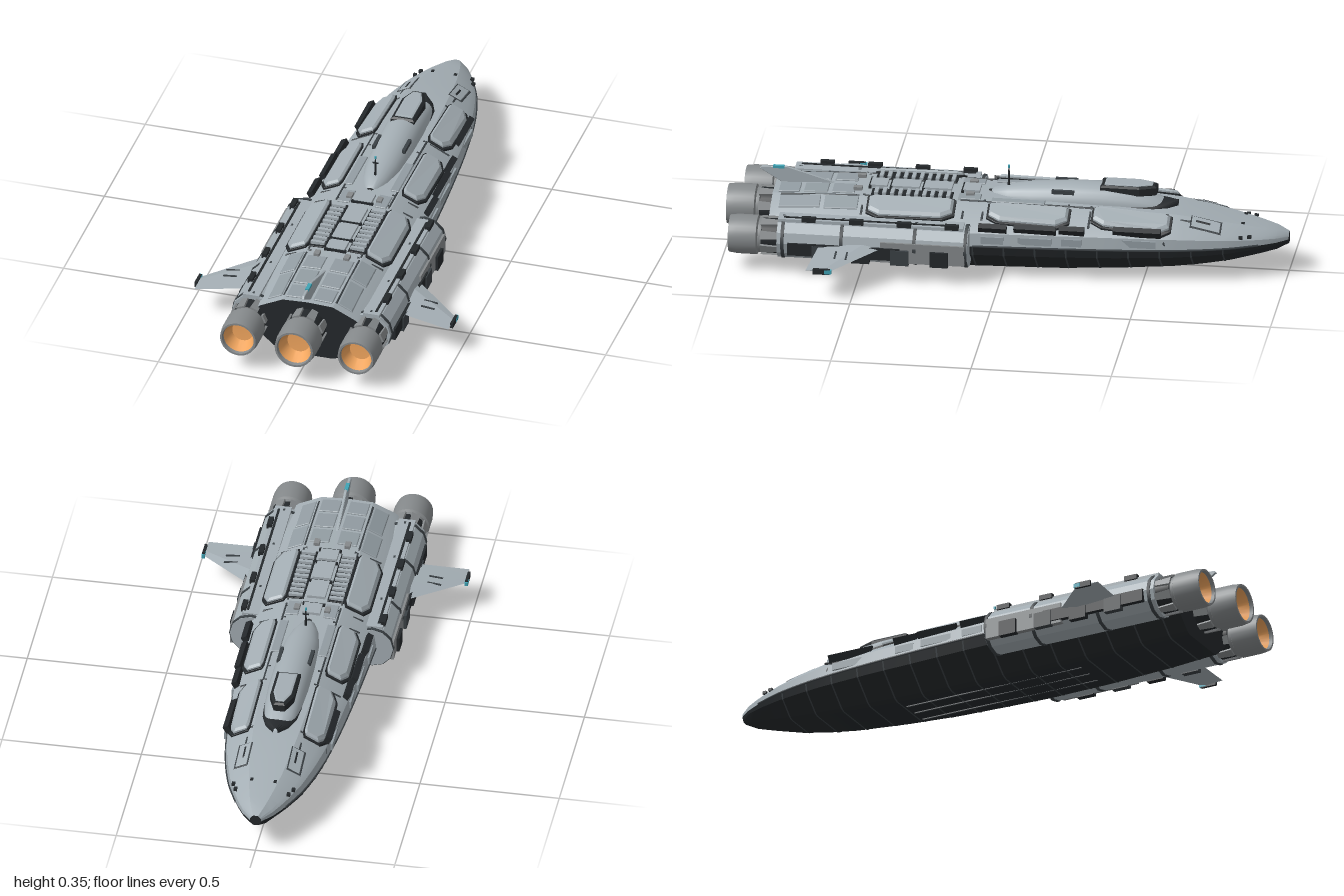
import * as THREE from 'three';
import { toCreasedNormals } from 'three/addons/utils/BufferGeometryUtils.js';

const mat = (color) => new THREE.MeshStandardMaterial({ color, side: THREE.DoubleSide });
const LIGHT = mat(0xa3adb3), PLATE = mat(0x929ca2), DARK = mat(0x24282b), SEAM = mat(0x3b4145),
  METAL = mat(0x85898b), GLOW = mat(0xf0a55e), CYAN = mat(0x3fa3b5);

// Hull stations: z, half width, top, waist, bottom
const STATIONS = [
  [-1, 0.02, 0.152, 0.13, 0.112], [-0.96, 0.055, 0.168, 0.13, 0.094], [-0.9, 0.09, 0.182, 0.13, 0.08],
  [-0.8, 0.132, 0.202, 0.13, 0.058], [-0.7, 0.16, 0.22, 0.13, 0.043], [-0.6, 0.18, 0.234, 0.13, 0.032],
  [-0.4, 0.203, 0.246, 0.13, 0.018], [-0.2, 0.217, 0.25, 0.13, 0.008], [0, 0.228, 0.25, 0.13, 0.005],
  [0.15, 0.235, 0.25, 0.13, 0.003], [0.4, 0.232, 0.25, 0.13, 0.005], [0.65, 0.222, 0.246, 0.13, 0.012],
  [0.83, 0.205, 0.238, 0.13, 0.02]];

function station(z) {
  let i = 0;
  while (i < STATIONS.length - 2 && STATIONS[i + 1][0] < z) i++;
  const a = STATIONS[i], b = STATIONS[i + 1];
  const t = THREE.MathUtils.clamp((z - a[0]) / (b[0] - a[0]), 0, 1);
  return a.map((v, k) => v + (b[k] - v) * t);
}

// Half sections, ordered from the left waist over the top / from the right waist under the keel
function upperSection([, w, top, mid]) {
  const h = top - mid;
  const side = [[w, mid], [w * 0.97, mid + h * 0.4], [w * 0.85, mid + h * 0.6], [w * 0.45, mid + h * 0.96]];
  return [...side, [0, top], ...side.slice().reverse().map(([x, y]) => [-x, y])];
}
function lowerSection([, w, , mid, bot]) {
  const h = mid - bot;
  const side = [[w * 0.98, mid], [w * 0.94, mid - h * 0.3], [w * 0.54, bot + h * 0.06], [w * 0.45, bot]];
  return [...side.map(([x, y]) => [-x, y]), ...side.slice().reverse()];
}

// Height of the upper hull surface at (x, z)
function deck(x, z) {
  const s = upperSection(station(z)).slice(0, 5), ax = Math.abs(x);
  for (let i = 4; i > 0; i--) {
    const [x0, y0] = s[i], [x1, y1] = s[i - 1];
    if (ax <= x1) return y0 + (y1 - y0) * (ax - x0) / (x1 - x0);
  }
  return s[0][1];
}

function loft(sections, crease = 0.35) {
  const pos = [];
  for (let i = 0; i < sections.length - 1; i++)
    for (let j = 0; j < sections[i].length - 1; j++) {
      const a = sections[i][j], b = sections[i][j + 1], c = sections[i + 1][j + 1], d = sections[i + 1][j];
      pos.push(...a, ...b, ...d, ...b, ...c, ...d);
    }
  const g = new THREE.BufferGeometry();
  g.setAttribute('position', new THREE.Float32BufferAttribute(pos, 3));
  return toCreasedNormals(g, crease);
}

function add(parent, name, geo, material, x = 0, y = 0, z = 0) {
  const m = new THREE.Mesh(geo, material);
  m.name = name;
  m.position.set(x, y, z);
  parent.add(m);
  return m;
}
const box = (p, name, m, w, h, d, x, y, z) => add(p, name, new THREE.BoxGeometry(w, h, d), m, x, y, z);
const shape = (pts) => new THREE.Shape(pts.map(([x, y]) => new THREE.Vector2(x, y)));

// Bevelled plate with an (x, z) outline, draped over the deck
function plate(p, name, m, pts, h, bevel = 0.006) {
  const g = new THREE.ExtrudeGeometry(shape(pts.map(([x, z]) => [x, -z])),
    { depth: h + 0.01, bevelThickness: bevel, bevelSize: bevel, bevelOffset: -bevel, bevelSegments: 1 });
  g.rotateX(-Math.PI / 2);
  const v = g.attributes.position;
  for (let i = 0; i < v.count; i++) v.setY(i, v.getY(i) - 0.01 - bevel + deck(v.getX(i), v.getZ(i)));
  g.computeVertexNormals();
  return add(p, name, g, m);
}
const rect = (x0, x1, z0, z1) => [[x0, z0], [x1, z0], [x1, z1], [x0, z1]];

// Engine bell with its glowing inside; rear lip at z = 0
function engine(p, name, r, x, y, z) {
  const e = new THREE.Group();
  e.name = name;
  e.position.set(x, y, z);
  p.add(e);
  const lathe = (n, pts, m) => {
    const g = new THREE.LatheGeometry(pts.map(([a, b]) => new THREE.Vector2(a * r, b)), 32);
    return add(e, n, toCreasedNormals(g.rotateX(Math.PI / 2), 0.5), m);
  };
  lathe('nozzleShell', [[0.8, -0.15], [0.88, -0.115], [0.88, -0.105], [1, -0.1], [1, -0.03], [0.94, 0], [0.84, 0], [0.8, -0.012]], METAL);
  lathe('nozzleGlow', [[0.8, -0.012], [0.55, -0.06], [0, -0.062]], GLOW);
  lathe('nozzleCollar', [[0.8, -0.3], [0.9, -0.22], [0.9, -0.12], [0.8, -0.11]], DARK);
  // Pointed petals around the collar
  const petal = new THREE.ExtrudeGeometry(shape([[-0.016, 0], [0.016, 0], [0.012, 0.06], [0, 0.1], [-0.012, 0.06]]),
    { depth: 0.008, bevelEnabled: false }).rotateX(-Math.PI / 2);
  for (let i = 0; i < 8; i++) {
    const a = (i + 0.5) * Math.PI / 4, m = add(e, 'nozzlePetal', petal, METAL, -Math.sin(a) * r * 0.87, Math.cos(a) * r * 0.87, -0.115);
    m.rotation.z = a;
  }
}

// Everything on the left side, mirrored by s = -1
function sideParts(root, s) {
  const g = new THREE.Group();
  g.name = s > 0 ? 'leftSide' : 'rightSide';
  root.add(g);
  const flip = (pts) => pts.map(([x, z]) => [s * x, z]);
  const chamfer = (x0, x1, z0, z1, c) => flip([[x0 + c * 0.3, z0], [x1 - c, z0], [x1, z0 + c * 2], [x1, z1 - c * 2], [x1 - c, z1], [x0 + c * 0.3, z1], [x0, z1 - c], [x0, z0 + c]]);

  // Raised shoulder armour over dark bases
  for (const [x0, x1, z0, z1] of [[0.1, 0.172, -0.59, -0.32], [0.115, 0.188, -0.23, 0.05], [0.11, 0.19, 0.18, 0.48]]) {
    plate(g, 'shoulderBase', DARK, chamfer(x0 - 0.006, x1 + 0.006, z0 - 0.008, z1 + 0.008, 0.02), 0.008, 0.001);
    plate(g, 'shoulderArmour', LIGHT, chamfer(x0, x1, z0, z1, 0.02), 0.022, 0.008);
  }
  // Deck slots, seams and rear panels
  plate(g, 'noseSlotFrame', SEAM, flip(rect(0.07, 0.12, -0.77, -0.66)), 0.003, 0.001);
  plate(g, 'noseSlotCover', LIGHT, flip(rect(0.075, 0.115, -0.765, -0.665)), 0.005, 0.001);
  plate(g, 'noseSlot', DARK, flip(rect(0.09, 0.096, -0.73, -0.68)), 0.007, 0.001);
  for (const [z0, z1] of [[-0.66, -0.33], [-0.31, -0.08], [-0.06, 0.16], [0.18, 0.5], [0.52, 0.8]])
    plate(g, 'deckSeam', SEAM, flip(rect(0.094, 0.1, z0, z1)), 0.003, 0.001);
  for (const z of [-0.58, -0.31, -0.23, 0.07, 0.14, 0.5])
    plate(g, 'crossSeam', SEAM, flip(rect(0.085, 0.18, z, z + 0.008)), 0.003, 0.001);
  for (const [x0, x1, z0, z1] of [[0.015, 0.085, 0.54, 0.62], [0.015, 0.085, 0.635, 0.72], [0.015, 0.085, 0.735, 0.81],
    [0.105, 0.16, 0.52, 0.64], [0.105, 0.155, 0.655, 0.8], [0.07, 0.1, -0.14, 0.05], [0.045, 0.09, 0.09, 0.17]])
    plate(g, 'deckPanel', PLATE, flip(rect(x0, x1, z0, z1)), 0.005, 0.002);
  // Cooling slats beside the spine
  plate(g, 'slatBed', DARK, flip(rect(0.042, 0.104, 0.19, 0.48)), 0.004, 0.001);
  for (let i = 0; i < 10; i++)
    box(g, 'coolingSlat', LIGHT, 0.05, 0.012, 0.013, s * 0.073, deck(0.073, 0.3) + 0.007, 0.205 + i * 0.0285);
  for (const z of [0.13, 0.53]) box(g, 'deckLatch', METAL, 0.02, 0.012, 0.03, s * 0.055, 0.254, z);
  // Dark equipment along the hull shoulders and waist
  for (const [z, d] of [[-0.48, 0.17], [-0.25, 0.09], [-0.12, 0.15], [0.03, 0.1]]) {
    const w = station(z)[1];
    const b = box(g, 'shoulderBox', DARK, 0.022, 0.028, d, s * w * 0.93, 0.195, z);
    b.rotation.z = -s * 0.5;
    box(g, 'waistHatch', PLATE, 0.008, 0.026, d * 0.8, s * w * 0.985, 0.155, z);
  }
  // Waist rail following the hull
  const rail = new THREE.CatmullRomCurve3([-0.9, -0.8, -0.65, -0.45, -0.2, 0.1].map((z) => new THREE.Vector3(s * station(z)[1], 0.131, z)));
  add(g, 'waistRail', new THREE.TubeGeometry(rail, 30, 0.004, 5), SEAM);
  for (const z of [-0.87, -0.84]) box(g, 'noseThruster', DARK, 0.012, 0.01, 0.014, s * station(z)[1] * 0.93, 0.165, z);
  box(g, 'noseSensor', DARK, 0.01, 0.008, 0.012, s * 0.042, deck(0.042, -0.84), -0.84);

  // Engine pod
  const pod = new THREE.CylinderGeometry(0.076, 0.076, 0.68, 12).rotateX(Math.PI / 2);
  add(g, 'podBody', toCreasedNormals(pod, 0.3), LIGHT, s * 0.217, 0.127, 0.45);
  for (const z of [0.118, 0.3, 0.56, 0.77])
    add(g, 'podBand', new THREE.CylinderGeometry(0.079, 0.079, 0.012, 12).rotateX(Math.PI / 2), SEAM, s * 0.217, 0.127, z);
  box(g, 'podShroud', LIGHT, 0.06, 0.05, 0.66, s * 0.222, 0.18, 0.46);
  box(g, 'podShroudSeam', DARK, 0.008, 0.004, 0.62, s * 0.235, 0.206, 0.46);
  box(g, 'podSidePanel', METAL, 0.02, 0.075, 0.3, s * 0.284, 0.115, 0.27);
  box(g, 'podSideRecess', DARK, 0.024, 0.045, 0.4, s * 0.288, 0.11, 0.55);
  for (let i = 0; i < 4; i++) {
    box(g, 'podEquipment', i % 2 ? SEAM : DARK, 0.022, 0.056, 0.065, s * 0.293, 0.1, 0.21 + i * 0.14);
    box(g, 'podClip', DARK, 0.018, 0.018, 0.05, s * 0.25, 0.208, 0.17 + i * 0.17);
  }
  engine(g, 'podEngine', 0.07, s * 0.217, 0.125, 0.965);

  // Winglet, drooping and thinning to the tip
  const wing = (x, y, z0, z1, t) => [[x, y, z0], [x, y + t, z0 + (z1 - z0) * 0.3], [x, y, z1], [x, y - t, z0 + (z1 - z0) * 0.3], [x, y, z0]].map(([a, b, c]) => [s * a, b, c]);
  const tip = wing(0.468, 0.109, 0.575, 0.662, 0.004);
  add(g, 'winglet', loft([wing(0.27, 0.13, 0.4, 0.635, 0.012), tip, tip.map(() => [s * 0.468, 0.109, 0.61])], 0.2), LIGHT);
  box(g, 'wingTip', DARK, 0.01, 0.02, 0.06, s * 0.472, 0.109, 0.605);
  box(g, 'wingTipLight', CYAN, 0.012, 0.014, 0.025, s * 0.472, 0.109, 0.582);
  for (const z of [0.53, 0.57]) box(g, 'wingHatch', SEAM, 0.05, 0.004, 0.006, s * 0.365, 0.127, z).rotation.z = -s * 0.11;
}

export function createModel() {
  const root = new THREE.Group();
  root.name = 'spaceship';

  // Hull shells and end caps
  const zs = Array.from({ length: 47 }, (_, i) => -1 + i * 1.83 / 46);
  const shell = (section) => loft(zs.map((z) => section(station(z)).map(([x, y]) => [x, y, z])));
  add(root, 'upperHull', shell(upperSection), LIGHT);
  add(root, 'lowerHull', shell(lowerSection), DARK);
  for (const [name, z, m] of [['noseCap', -1, DARK], ['sternBulkhead', 0.83, DARK]])
    add(root, name, new THREE.ShapeGeometry(shape([...upperSection(station(z)), ...lowerSection(station(z))])), m, 0, 0, z);

  // Belly ribs and keel strips
  for (let i = 0; i < 15; i++) {
    const z = -0.78 + i * 0.11;
    const rib = [z - 0.003, z + 0.003].map((q) => lowerSection(station(q)).map(([x, y]) => [x * 1.006, y - 0.0015, q]));
    add(root, 'bellyRib', loft(rib), SEAM);
  }
  for (const x of [-0.06, 0, 0.06]) box(root, 'keelStrip', SEAM, 0.005, 0.004, 0.7, x, 0.0045, 0.03);

  for (const s of [1, -1]) sideParts(root, s);
  engine(root, 'mainEngine', 0.075, 0, 0.142, 1);

  // Dorsal dome: z, half width, height above the deck line
  const dome = [[-0.605, 0.008, 0.228], [-0.57, 0.038, 0.245], [-0.52, 0.058, 0.266], [-0.45, 0.068, 0.29], [-0.35, 0.073, 0.303],
    [-0.22, 0.073, 0.3], [-0.08, 0.066, 0.288], [0, 0.05, 0.274], [0.05, 0.03, 0.26], [0.07, 0.012, 0.245]];
  const arch = ([z, w, top], grow, base) => Array.from({ length: 13 }, (_, i) => {
    const a = i * Math.PI / 12;
    return [Math.cos(a) * w * grow, base + (top - base) * Math.pow(Math.sin(a), 0.8), z];
  });
  add(root, 'dorsalDome', loft(dome.map((d) => arch(d, 1, 0.222)), 0.6), LIGHT);
  add(root, 'domeCollar', loft(dome.map(([z, w]) => arch([z, w, 0.253], 1.14, 0.222)), 0.6), DARK);

  // Command cabin on the dome
  const cabin = new THREE.ExtrudeGeometry(shape([[-0.02, 0.53], [0.02, 0.53], [0.043, 0.47], [0.043, 0.33], [-0.043, 0.33], [-0.043, 0.47]]),
    { depth: 0.025, bevelThickness: 0.006, bevelSize: 0.008, bevelOffset: -0.008, bevelSegments: 1 }).rotateX(-Math.PI / 2);
  add(root, 'cabin', cabin, DARK, 0, 0.275, 0);
  add(root, 'cabinRoof', cabin.clone().scale(0.75, 0.3, 0.85), LIGHT, 0, 0.301, -0.064);
  for (const s of [1, -1]) box(root, 'domeVent', SEAM, 0.012, 0.014, 0.08, s * 0.055, 0.28, -0.2);

  // Spine
  for (const [z, d] of [[0.25, 0.1], [0.365, 0.1], [0.46, 0.06], [0.13, 0.06]]) {
    box(root, 'spinePanel', LIGHT, 0.065, 0.014, d, 0, 0.252, z);
    box(root, 'spineBracket', DARK, 0.08, 0.01, 0.01, 0, 0.252, z + d / 2);
  }

  // Antenna mast
  add(root, 'mast', new THREE.CylinderGeometry(0.002, 0.005, 0.08, 8), DARK, 0, 0.305, 0);
  box(root, 'mastArm', DARK, 0.022, 0.004, 0.004, 0, 0.322, 0);
  box(root, 'mastLight', CYAN, 0.006, 0.01, 0.006, 0, 0.344, 0);

  // Swept tail fin
  const fin = new THREE.ExtrudeGeometry(shape([[-0.6, 0.24], [-0.72, 0.235], [-0.8, 0.235], [-0.885, 0.287], [-0.88, 0.293], [-0.79, 0.296]]),
    { depth: 0.006, bevelThickness: 0.002, bevelSize: 0.002, bevelSegments: 1 }).rotateY(Math.PI / 2);
  add(root, 'tailFin', fin, LIGHT, -0.003, 0, 0);
  box(root, 'tailFinLight', CYAN, 0.013, 0.009, 0.04, 0, 0.295, 0.82);
  return root;
}
